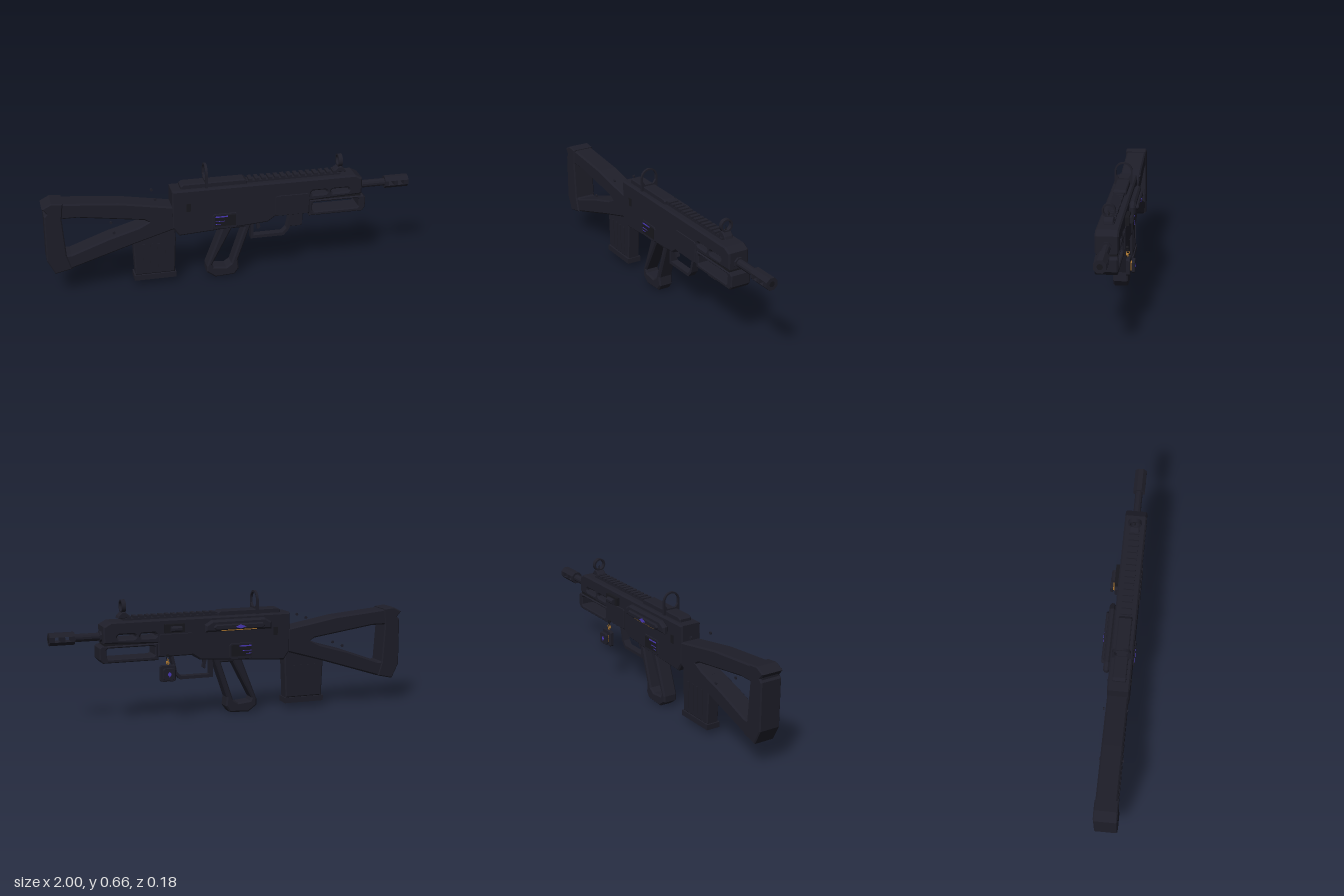
import * as THREE from 'three';

export function createModel() {
  const root = new THREE.Group();
  const ZC = 0.024; // centre plane of the body
  const mat = (name, color) => {
    const m = new THREE.MeshStandardMaterial({ color, flatShading: true });
    m.name = name;
    return m;
  };
  const body = mat('gunmetal', 0x1e1e29);
  const dark = mat('blackPolymer', 0x17171d);
  const violet = mat('violetAccent', 0x4a38b8);
  const brass = mat('brass', 0xa8742f);

  const add = (name, geo, m, x = 0, y = 0, z = 0) => {
    const mesh = new THREE.Mesh(geo, m);
    mesh.name = name;
    mesh.position.set(x, y, z);
    root.add(mesh);
    return mesh;
  };
  // box given by its limits
  const box = (name, m, x0, x1, y0, y1, z0, z1) =>
    add(name, new THREE.BoxGeometry(x1 - x0, y1 - y0, z1 - z0), m, (x0 + x1) / 2, (y0 + y1) / 2, (z0 + z1) / 2);
  const vecs = (pts) => pts.map(([x, y]) => new THREE.Vector2(x, y));
  // side profile extruded from z0 to z1 with chamfered edges; holes run counter-clockwise
  const slab = (name, m, pts, z0, z1, bevel = 0, holes = []) => {
    const s = new THREE.Shape(vecs(pts));
    holes.forEach((h) => s.holes.push(new THREE.Path(vecs(h))));
    const geo = new THREE.ExtrudeGeometry(s, {
      depth: z1 - z0 - 2 * bevel, bevelEnabled: bevel > 0, bevelThickness: bevel,
      bevelSize: bevel, bevelOffset: -bevel, bevelSegments: 1,
    });
    return add(name, geo, m, 0, 0, z0 + bevel);
  };
  const slot = (x0, x1, y0, y1, c = 0.008) => [
    [x0 + c, y0], [x1 - c, y0], [x1, y0 + c], [x1, y1 - c],
    [x1 - c, y1], [x0 + c, y1], [x0, y1 - c], [x0, y0 + c]];
  // cylinder along x, flat side up
  const rod = (name, m, x0, x1, r, y, z, sides = 8) => {
    const geo = new THREE.CylinderGeometry(r, r, x1 - x0, sides).rotateY(Math.PI / sides).rotateZ(Math.PI / 2);
    return add(name, geo, m, (x0 + x1) / 2, y, z);
  };
  // cross-section (z, y) extruded along x
  const alongX = (name, m, shape, x0, x1, y) => {
    const geo = new THREE.ExtrudeGeometry(shape, { depth: x1 - x0, bevelEnabled: false, curveSegments: 20 });
    return add(name, geo.rotateY(Math.PI / 2), m, x0, y, ZC);
  };

  // Stock frame and butt pad
  slab('stock', body, [[-0.98, 0.50], [-0.94, 0.53], [-0.6, 0.5], [-0.31, 0.45], [-0.31, 0.32], [-0.53, 0.255],
    [-0.86, 0.15], [-0.95, 0.14], [-0.98, 0.22]], -0.034, 0.078, 0.008,
  [[[-0.885, 0.23], [-0.86, 0.23], [-0.66, 0.303], [-0.5, 0.35], [-0.445, 0.376], [-0.47, 0.39], [-0.82, 0.44], [-0.9, 0.44]]]);
  slab('buttPad', body, [[-1, 0.51], [-0.95, 0.536], [-0.89, 0.53], [-0.9, 0.44], [-0.885, 0.23], [-0.86, 0.15],
    [-0.95, 0.13], [-0.99, 0.21], [-0.99, 0.465], [-0.975, 0.48]], -0.038, 0.085, 0.006);
  for (const z of [-0.041, 0.082]) {
    for (const [x, y] of [[-0.41, 0.508], [-0.632, 0.338]]) {
      add('stockPin', new THREE.CylinderGeometry(0.008, 0.008, 0.007, 8), body, x, y, z).rotation.x = Math.PI / 2;
    }
  }

  // Magazine with side ribs and base plate
  slab('magazine', body, [[-0.535, 0.34], [-0.3, 0.34], [-0.3, 0.25], [-0.308, 0.06], [-0.522, 0.06], [-0.53, 0.25]],
    -0.012, 0.06, 0.006);
  box('magazineBase', body, -0.53, -0.302, 0.03, 0.06, -0.016, 0.064);
  for (let i = 0; i < 4; i++) {
    const x = -0.48 + i * 0.04;
    for (const z of [-0.013, 0.061]) box('magazineRib', body, x, x + 0.014, 0.09, 0.24, z - 0.002, z + 0.002);
  }

  // Receiver and handguard with vent slots
  slab('receiver', body, [[-0.32, 0.54], [0.685, 0.54], [0.725, 0.518], [0.725, 0.428], [0.435, 0.415], [0.435, 0.34],
    [0.24, 0.34], [0.2, 0.312], [0.04, 0.3], [-0.285, 0.28], [-0.32, 0.33]], -0.035, 0.083, 0.008,
  [slot(0.44, 0.527, 0.448, 0.471), slot(0.552, 0.652, 0.448, 0.471)]);
  slab('foregrip', body, [[0.43, 0.416], [0.735, 0.416], [0.747, 0.405], [0.747, 0.345], [0.73, 0.325], [0.43, 0.325]],
    -0.033, 0.081, 0.005, [slot(0.448, 0.71, 0.346, 0.403)]);
  box('handguardSeam', dark, 0.43, 0.72, 0.412, 0.432, -0.028, 0.076);

  // Panels and displays on both sides
  for (const [z, s] of [[0.083, 1], [-0.035, -1]]) {
    const plate = (name, m, x0, x1, y0, y1, out) =>
      box(name, m, x0, x1, y0, y1, z + s * out - 0.001, z + s * out + 0.001);
    slab('sidePanel', body, slot(0.24, 0.427, 0.345, 0.462), z - 0.004, z + 0.004, 0.002);
    slab('displayFrame', body, slot(-0.105, 0.035, 0.302, 0.39, 0.012), z - 0.004, z + 0.004, 0.002);
    box('sideLug', dark, -0.245, -0.222, 0.42, 0.465, z - 0.004, z + 0.004);
    plate('displayScreen', dark, -0.092, 0.022, 0.318, 0.38, 0.005);
    plate('displayLine', violet, -0.09, -0.022, 0.37, 0.377, 0.0065);
    for (let i = 0; i < 2; i++) {
      plate('displayMark', violet, -0.09, -0.06 + i * 0.02, 0.33 + i * 0.016, 0.333 + i * 0.016, 0.0065);
    }
  }

  // Top rail: smooth hump and toothed section
  slab('railCover', body, [[-0.27, 0.535], [-0.27, 0.555], [-0.255, 0.566], [0.075, 0.566], [0.09, 0.556], [0.09, 0.535]],
    -0.012, 0.06, 0.005);
  box('rail', body, 0.085, 0.61, 0.535, 0.549, ZC - 0.025, ZC + 0.025);
  for (let i = 0; i < 14; i++) {
    const x = 0.1 + i * 0.036;
    box('railTooth', body, x, x + 0.021, 0.548, 0.562, ZC - 0.028, ZC + 0.028);
  }

  // Rear arch sight
  const arch = new THREE.Shape(vecs([[-0.049, -0.076], [0.049, -0.076], [0.049, 0]]));
  arch.absarc(0, 0, 0.049, 0, Math.PI);
  const eye = new THREE.Path(vecs([[0.026, -0.04], [-0.026, -0.04], [-0.04, -0.02]]));
  eye.absarc(0, 0, 0.04, Math.PI, 0, true);
  eye.lineTo(0.04, -0.02);
  arch.holes.push(eye);
  alongX('rearSight', body, arch, -0.139, -0.126, 0.614);

  // Front ring sight with post
  const ring = new THREE.Shape().absarc(0, 0, 0.035, 0, Math.PI * 2);
  ring.holes.push(new THREE.Path().absarc(0, 0, 0.026, 0, Math.PI * 2, true));
  alongX('frontSightRing', body, ring, 0.596, 0.618, 0.614);
  add('frontSightPost', new THREE.CylinderGeometry(0.001, 0.006, 0.042, 6), dark, 0.607, 0.592, ZC);
  slab('frontSightBase', body, [[0.57, 0.552], [0.64, 0.552], [0.635, 0.565], [0.616, 0.584], [0.598, 0.584], [0.575, 0.565]],
    ZC - 0.025, ZC + 0.025, 0.004);

  // Barrel and vented octagonal muzzle
  rod('barrelCollar', body, 0.72, 0.735, 0.03, 0.46, ZC);
  rod('barrel', body, 0.68, 0.88, 0.021, 0.46, ZC, 12);
  for (const [x0, x1] of [[0.868, 0.887], [0.92, 0.94], [0.973, 1]]) rod('muzzleSection', body, x0, x1, 0.0346, 0.46, ZC);
  for (const s of [1, -1]) {
    const strip = vecs([[-0.032, 0.0133 * s], [0.032, 0.0133 * s], [0.0132, 0.032 * s], [-0.0132, 0.032 * s]]);
    alongX('muzzleStrip', body, new THREE.Shape(strip), 0.88, 0.985, 0.46);
  }
  rod('bore', dark, 0.99, 1.001, 0.015, 0.46, ZC, 12);

  // Open grip
  slab('grip', body, [[-0.04, 0.31], [0.115, 0.31], [0.04, 0.09], [0.046, 0.04], [0.022, 0.006], [-0.085, 0],
    [-0.133, 0.035], [-0.133, 0.07]], -0.017, 0.065, 0.008,
  [[[-0.103, 0.078], [-0.095, 0.062], [-0.025, 0.055], [0.004, 0.075], [0.075, 0.285], [0.005, 0.285]]]);

  // Trigger and guard
  slab('triggerGuard', body, [[0.115, 0.31], [0.115, 0.205], [0.3, 0.205], [0.33, 0.24], [0.355, 0.345], [0.338, 0.345],
    [0.316, 0.246], [0.293, 0.222], [0.13, 0.222], [0.13, 0.31]], 0.004, 0.045);
  slab('trigger', body, [[0.14, 0.32], [0.172, 0.32], [0.165, 0.288], [0.172, 0.262], [0.155, 0.25], [0.15, 0.283]],
    0.015, 0.033);

  // Raised cover on the far side with coloured inlays
  slab('sideCover', body, [[-0.2, 0.462], [0.18, 0.462], [0.18, 0.5], [0.14, 0.524], [-0.16, 0.524], [-0.2, 0.5]],
    -0.068, -0.034, 0.01);
  slab('coverRidge', body, slot(-0.155, 0.135, 0.472, 0.502, 0.012), -0.082, -0.064, 0.006);
  box('coverStripe', brass, -0.11, 0.09, 0.466, 0.4705, -0.0695, -0.0665);
  slab('coverInlay', violet, [[-0.045, 0.486], [-0.015, 0.476], [0.015, 0.486], [-0.015, 0.498]], -0.0835, -0.0815);

  // Charging handle
  box('handleMount', dark, 0.29, 0.4, 0.47, 0.515, -0.055, -0.033);
  rod('handleKnob', body, 0.31, 0.37, 0.016, 0.49, -0.06);

  // Hanging block charm on a small chain
  add('charmStud', new THREE.CylinderGeometry(0.008, 0.008, 0.02, 8), dark, 0.385, 0.35, -0.042).rotation.x = Math.PI / 2;
  add('charmBead', new THREE.CylinderGeometry(0.007, 0.007, 0.014, 8), brass, 0.385, 0.313, -0.045).rotation.x = Math.PI / 2;
  for (let i = 0; i < 3; i++) {
    add('charmLink', new THREE.TorusGeometry(0.008, 0.002, 5, 8), i ? brass : dark, 0.385, 0.337 - i * 0.014, -0.049)
      .rotation.y = (i % 2) * Math.PI / 2;
  }
  slab('charmBlock', body, slot(0.345, 0.43, 0.212, 0.3), -0.063, -0.042, 0.002);
  box('charmCore', brass, 0.365, 0.41, 0.235, 0.275, -0.073, -0.06);
  slab('charmCap', body, slot(0.355, 0.42, 0.224, 0.287), -0.087, -0.071, 0.002);
  slab('charmInlay', violet, [[0.387, 0.27], [0.376, 0.255], [0.387, 0.24], [0.398, 0.255]], -0.0885, -0.0865);

  return root;
}
